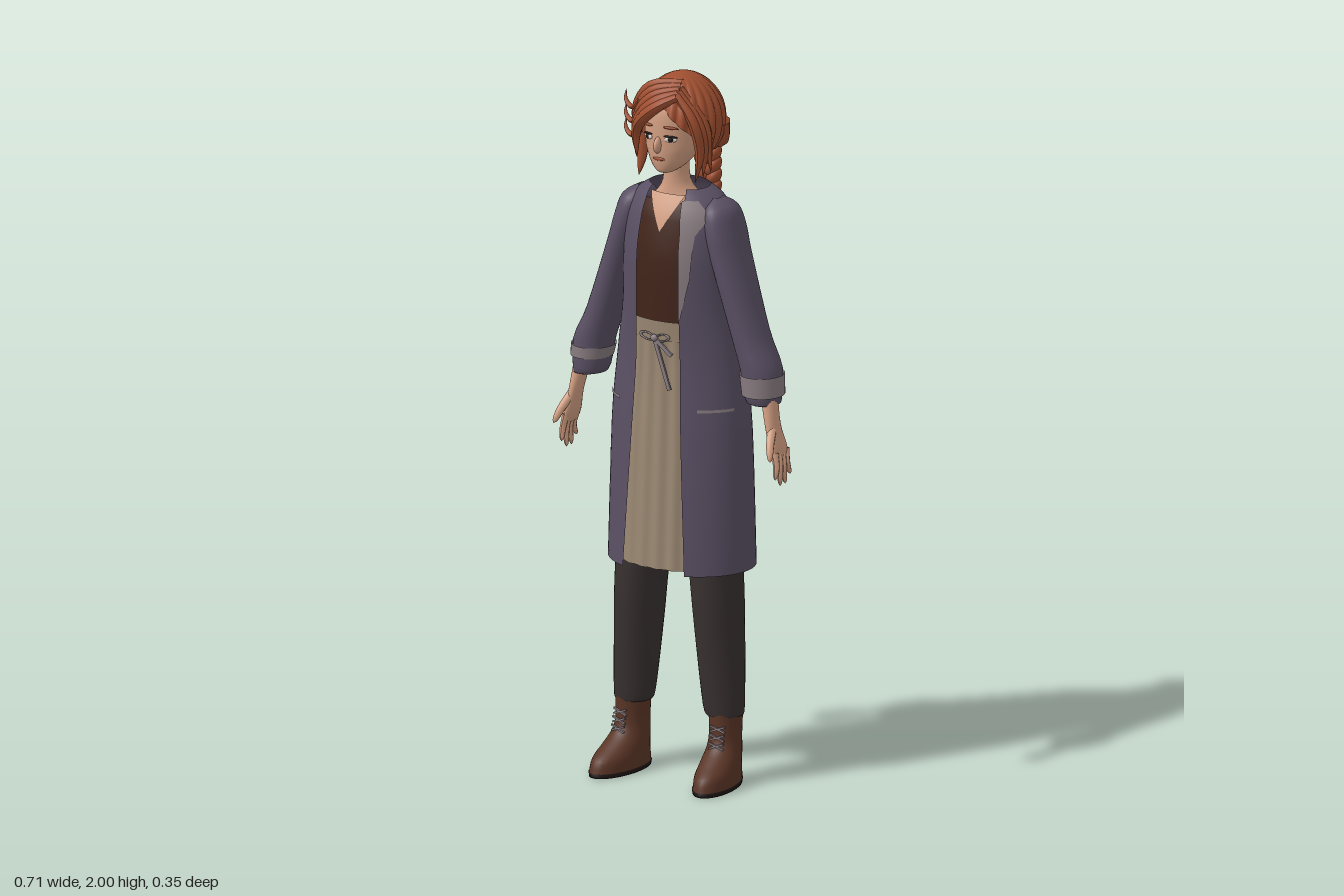
import * as THREE from 'three';

const mat = (name, color) => {
  const m = new THREE.MeshStandardMaterial({ color, side: THREE.DoubleSide });
  m.name = name;
  return m;
};

// Surface from a rule: u runs around, v runs upward
function grid(nu, nv, fn, closed) {
  const pos = [], idx = [], cols = closed ? nu : nu + 1;
  for (let i = 0; i <= nv; i++)
    for (let j = 0; j < cols; j++) pos.push(...fn(j / nu, i / nv));
  for (let i = 0; i < nv; i++)
    for (let j = 0; j < nu; j++) {
      const k = (j + 1) % cols, a = i * cols + j, b = i * cols + k;
      idx.push(a, b, b + cols, a, b + cols, a + cols);
    }
  const g = new THREE.BufferGeometry();
  g.setAttribute('position', new THREE.Float32BufferAttribute(pos, 3));
  g.setIndex(idx);
  g.computeVertexNormals();
  return g;
}

// Catmull-Rom resampling of rows of numbers
function smooth(rows, sub) {
  const out = [], n = rows.length - 1;
  for (let i = 0; i < n; i++)
    for (let s = 0; s < sub; s++) {
      const t = s / sub, p0 = rows[Math.max(i - 1, 0)], p1 = rows[i], p2 = rows[i + 1], p3 = rows[Math.min(i + 2, n)];
      out.push(p1.map((b, k) => {
        const c1 = p2[k] - p0[k];
        const c2 = 2 * p0[k] - 5 * b + 4 * p2[k] - p3[k];
        const c3 = 3 * (b - p2[k]) + p3[k] - p0[k];
        return b + 0.5 * t * (c1 + t * (c2 + t * c3));
      }));
    }
  out.push(rows[n]);
  return out;
}

// Loft through elliptical rings [y, z, rx, rz, x, startAngle, endAngle], bottom to top
function loft(rings, { sub = 4, seg = 32, ripple = 0 } = {}) {
  const R = smooth(rings, sub), n = R.length - 1;
  return grid(seg, n, (u, v) => {
    const [y, z, rx, rz, x = 0, a0 = 0, a1 = Math.PI * 2] = R[Math.round(v * n)];
    const a = a0 + (a1 - a0) * u;
    return [x + rx * Math.sin(a), y, z + (rz + ripple * Math.sin(a * 26)) * Math.cos(a)];
  }, rings[0].length < 6);
}

// Tapered tube along a curve; shape(t) gives the relative thickness
const lockShape = t => (0.45 + 1.1 * t) * (1 - t * t) * 1.15 + 0.01;
const fingerShape = t => Math.sqrt(1 - t ** 6) * (1 - 0.25 * t) + 0.01;
function taper(points, r, shape) {
  const n = 14, sides = 8, v = new THREE.Vector3();
  const curve = new THREE.CatmullRomCurve3(points.map(p => new THREE.Vector3(...p)));
  const g = new THREE.TubeGeometry(curve, n, r, sides), p = g.attributes.position;
  for (let i = 0; i < p.count; i++) {
    const t = Math.floor(i / (sides + 1)) / n, c = curve.getPointAt(t);
    v.fromBufferAttribute(p, i).sub(c).multiplyScalar(shape(t)).add(c);
    p.setXYZ(i, v.x, v.y, v.z);
  }
  g.computeVertexNormals();
  return g;
}

const mix = (a, b, t) => a.map((q, k) => q + (b[k] - q) * t);

export function createModel() {
  const coat = mat('coat purple', 0x5a5064), trim = mat('trim grey', 0x887c80);
  const shirt = mat('shirt brown', 0x42251a), tan = mat('apron tan', 0x9a8772);
  const cloth = mat('trouser charcoal', 0x383130), leather = mat('boot brown', 0x5a3526);
  const skin = mat('skin', 0xd4a083), hair = mat('hair auburn', 0xa04f30);
  const dark = mat('dark', 0x1f1715), white = mat('eye white', 0xe2dad4);

  const model = new THREE.Group();
  model.name = 'figure';
  const add = (parent, name, geo, m, pos = [0, 0, 0], rot = [0, 0, 0], scale = [1, 1, 1]) => {
    const mesh = new THREE.Mesh(geo, m);
    mesh.name = name;
    mesh.position.set(...pos);
    mesh.rotation.set(...rot);
    mesh.scale.set(...scale);
    parent.add(mesh);
  };
  const group = (parent, name) => {
    const g = new THREE.Group();
    g.name = name;
    parent.add(g);
    return g;
  };
  const ball = new THREE.SphereGeometry(1, 16, 12);

  // Long open coat: y, z, rx, rz and half width of the opening
  const coatRings = [
    [0.61, -0.01, 0.215, 0.167, 0.098], [1, -0.01, 0.207, 0.146, 0.078], [1.2, -0.008, 0.188, 0.132, 0.07],
    [1.35, -0.002, 0.167, 0.13, 0.067], [1.5, 0, 0.163, 0.129, 0.066], [1.6, -0.003, 0.16, 0.112, 0.063],
    [1.655, -0.003, 0.13, 0.09, 0.06], [1.685, 0, 0.088, 0.07, 0.053],
  ].map(([y, z, rx, rz, w]) => [y, z, rx, rz, 0, Math.asin(w / rx), Math.PI * 2 - Math.asin(w / rx)]);
  add(model, 'coat', loft(coatRings, { seg: 56 }), coat);

  // Panels that follow the coat surface: rows of [y, xMin, xMax], offset outward
  const fine = smooth(coatRings, 6), steps = 6;
  function panel(name, rows, off, m, ripple = 0) {
    const rings = [];
    for (let i = 0; i <= (rows.length - 1) * steps; i++) {
      const r = Math.min(Math.floor(i / steps), rows.length - 2);
      const [y, x0, x1] = mix(rows[r], rows[r + 1], i / steps - r);
      const k = fine.findIndex(f => f[0] >= y), A = fine[k - 1], B = fine[k];
      const [, z, rx, rz] = mix(A, B, (y - A[0]) / (B[0] - A[0]));
      rings.push([y, z, rx + off, rz + off, 0, Math.asin(x0 / (rx + off)), Math.asin(x1 / (rx + off))]);
    }
    add(model, name, loft(rings, { sub: 1, seg: 60, ripple }), m);
  }
  panel('shirt', [[1.28, -0.11, 0.11], [1.6, -0.1, 0.1], [1.65, -0.07, 0.07]], -0.012, shirt);
  panel('neckline', [[1.57, -0.002, 0.002], [1.67, -0.055, 0.055]], -0.008, skin);
  panel('apron', [[0.62, -0.15, 0.15], [1.3, -0.11, 0.11]], -0.012, tan, 0.003);
  panel('waistband', [[1.265, -0.1, 0.1], [1.32, -0.1, 0.1]], -0.007, tan);
  panel('lapel', [[1.33, 0.068, 0.072], [1.45, 0.069, 0.098], [1.57, 0.066, 0.105],
    [1.62, 0.06, 0.135], [1.66, 0.055, 0.095]], 0.004, trim);
  panel('leftPocket', [[1.072, 0.12, 0.195], [1.08, 0.12, 0.195]], 0.003, trim);
  panel('rightPocket', [[1.072, -0.195, -0.13], [1.08, -0.195, -0.13]], 0.003, trim);

  // Sash bow with two hanging ends
  const bow = group(model, 'bow');
  bow.position.set(-0.005, 1.272, 0.124);
  add(bow, 'knot', ball, trim, [0, 0, 0.003], [0, 0, 0], [0.011, 0.01, 0.009]);
  for (const s of [-1, 1])
    add(bow, 'loop', new THREE.TorusGeometry(0.016, 0.004, 6, 16), trim, [s * 0.024, 0.002, 0], [0, 0, s * 0.2], [1.3, 0.6, 1]);
  for (const [len, turn] of [[0.15, 0.33], [0.07, 0.9]])
    add(bow, 'sashEnd', new THREE.BoxGeometry(0.011, len, 0.006), trim,
      [Math.sin(turn) * len / 2, -Math.cos(turn) * len / 2, 0.002], [0, 0, turn]);

  // Arms and legs, built on the left and mirrored
  for (const s of [1, -1]) {
    const side = group(model, s > 0 ? 'leftLimbs' : 'rightLimbs');
    side.scale.x = s;

    add(side, 'sleeve', loft([
      [1.125, 0.02, 0.02, 0.025, 0.305], [1.11, 0.015, 0.046, 0.054, 0.278], [1.2, 0.012, 0.057, 0.062, 0.268],
      [1.3, 0.01, 0.05, 0.064, 0.23], [1.5, 0.004, 0.048, 0.076, 0.166], [1.58, 0, 0.049, 0.078, 0.143],
      [1.635, 0, 0.042, 0.062, 0.13], [1.662, 0, 0.012, 0.02, 0.118]]), coat);
    add(side, 'cuff', loft([[s > 0 ? 1.13 : 1.155, 0.013, 0.058, 0.064, 0.275], [1.188, 0.012, 0.061, 0.066, 0.27]]), trim);

    add(side, 'hand', loft([
      [0.955, 0.022, 0.006, 0.028, 0.337], [0.985, 0.025, 0.015, 0.038, 0.331],
      [1.05, 0.03, 0.017, 0.03, 0.316], [1.14, 0.022, 0.023, 0.028, 0.298]], { seg: 20 }), skin);
    for (let i = 0; i < 4; i++) {
      const z = 0.062 - i * 0.026, y = 0.88 + 0.011 * (i - 1.5) ** 2;
      add(side, 'finger', taper([[0.335, 0.98, 0.052 - i * 0.019], [0.343, 0.94, z * 0.7 + 0.012], [0.343, y, z]],
        0.0105, fingerShape), skin);
    }
    add(side, 'thumb', taper([[0.322, 1.04, 0.045], [0.335, 1.005, 0.075], [0.348, 0.965, 0.096]], 0.013, fingerShape), skin);

    add(side, 'trouserLeg', loft([
      [0.195, 0.005, 0.047, 0.05, 0.147], [0.22, 0.005, 0.058, 0.056, 0.143], [0.42, 0.004, 0.065, 0.077, 0.13],
      [0.6, 0.004, 0.07, 0.086, 0.118], [1.02, -0.005, 0.08, 0.09, 0.08]]), cloth);

    const boot = group(side, 'boot');
    boot.position.x = 0.148;
    boot.rotation.y = 0.14;
    add(boot, 'sole', loft([[0, 0.06, 0.001, 0.001], [0, 0.06, 0.054, 0.115], [0.012, 0.06, 0.056, 0.117],
      [0.014, 0.06, 0.05, 0.11]], { sub: 1 }), dark);
    add(boot, 'upper', loft([
      [0.012, 0.06, 0.054, 0.115], [0.045, 0.055, 0.053, 0.107], [0.075, 0.034, 0.05, 0.083],
      [0.105, 0.014, 0.046, 0.062], [0.14, 0.006, 0.044, 0.053], [0.21, 0.004, 0.046, 0.054]]), leather);
    for (let i = 0; i < 3; i++)
      for (const d of [-1, 1])
        add(boot, 'lace', new THREE.BoxGeometry(0.046, 0.005, 0.006), trim, [0, 0.118 + i * 0.023, 0.07 - i * 0.005], [0, 0, d * 0.35]);
  }

  // Neck, head and face
  add(model, 'neck', loft([[1.58, 0, 0.11, 0.065], [1.64, 0.005, 0.08, 0.058],
    [1.7, 0.018, 0.037, 0.04], [1.8, 0.018, 0.036, 0.042]]), skin);
  add(model, 'head', loft([
    [1.733, 0.072, 0.002, 0.003], [1.737, 0.069, 0.022, 0.03], [1.755, 0.053, 0.046, 0.055],
    [1.785, 0.034, 0.067, 0.079], [1.82, 0.024, 0.079, 0.091], [1.9, 0.014, 0.084, 0.1],
    [1.94, 0.006, 0.07, 0.09], [1.975, 0, 0.03, 0.04]]), skin);
  add(model, 'nose', ball, skin, [0, 1.82, 0.114], [-0.35, 0, 0], [0.01, 0.024, 0.02]);
  add(model, 'lips', ball, hair, [0, 1.779, 0.111], [0, 0, 0], [0.019, 0.005, 0.004]);
  for (const s of [-1, 1]) {
    const eye = group(model, 'eye');
    eye.position.set(s * 0.036, 1.838, 0.107);
    eye.rotation.y = s * 0.4;
    add(eye, 'eyeWhite', ball, white, [0, 0, 0], [0, 0, 0], [0.018, 0.008, 0.004]);
    add(eye, 'iris', ball, dark, [0, 0, 0.003], [0, 0, 0], [0.007, 0.0075, 0.003]);
    add(eye, 'eyelash', ball, dark, [0, 0.008, 0.001], [0, 0, s * -0.08], [0.02, 0.003, 0.004]);
    add(eye, 'eyebrow', ball, hair, [0, 0.033, 0.001], [0, 0, s * -0.1], [0.022, 0.004, 0.004]);
  }

  // Ridged hair cap that opens over the face
  add(model, 'hairCap', grid(168, 28, (u, v) => {
    const phi = u * Math.PI * 2, c = Math.cos(phi);
    const th = (1 - v) * (0.95 + 1.5 * ((1 - c) / 2) ** 0.4) + 0.002;
    const ridge = 0.94 + 0.085 * Math.abs(Math.sin(phi * 11 + th * 0.7)) * Math.sin(Math.min(th, 1.57));
    const r = Math.sin(th) * ridge;
    return [0.004 + 0.113 * r * Math.sin(phi), 1.866 + 0.134 * Math.cos(th), (c > 0 ? 0.126 : 0.135) * r * c];
  }, true), hair);

  // Locks blended between an inner and an outer guide
  const sweep = (name, inner, outer, count, r) => {
    for (let i = 0; i < count; i++) {
      const path = inner.map((p, k) => mix(p, outer[k], i / (count - 1)));
      add(model, name, taper(path, r, lockShape), hair);
    }
  };
  sweep('fringeLock',
    [[0.045, 1.955, 0.09], [0, 1.93, 0.112], [-0.055, 1.885, 0.107], [-0.092, 1.83, 0.08], [-0.092, 1.76, 0.075]],
    [[0.035, 1.983, 0.04], [-0.05, 1.967, 0.06], [-0.1, 1.91, 0.05], [-0.12, 1.85, 0.03], [-0.125, 1.75, 0.03]], 5, 0.02);
  sweep('sideLock', [[0.04, 1.962, 0.085], [0.09, 1.89, 0.08], [0.1, 1.8, 0.06], [0.085, 1.71, 0.06]],
    [[0.04, 1.975, 0.065], [0.106, 1.87, 0.045], [0.112, 1.8, 0.035], [0.12, 1.74, 0.035]], 3, 0.018);
  add(model, 'templeLock', taper([[-0.1, 1.86, 0.03], [-0.1, 1.76, 0.035], [-0.102, 1.7, 0.05]], 0.018, lockShape), hair);
  for (const y of [1.85, 1.89, 1.93])
    add(model, 'wisp', taper([[-0.08, y, 0.08], [-0.11, y - 0.03, 0.073], [-0.134, y - 0.015, 0.065], [-0.136, y + 0.015, 0.06]],
      0.008, lockShape), hair);

  // Locks gathered at the nape
  for (let i = 0; i < 6; i++) {
    const x = -0.095 + i * 0.038;
    add(model, 'napeLock', taper([[x, 1.86, -0.12 + Math.abs(x) * 0.6], [x * 0.85, 1.8, -0.088], [x * 0.2, 1.765, -0.14]],
      0.022, t => 1 - 0.35 * t), hair);
  }

  // Plaited braid with a tuft at the end
  const braid = group(model, 'braid');
  for (let i = 0; i < 13; i++) {
    const t = i / 12, k = 1.08 - 0.4 * t;
    for (const s of [-1, 1])
      add(braid, 'plait', ball, hair, [s * 0.015 * k, 1.768 - 0.395 * t - s * 0.007, -0.139 - 0.012 * Math.sin(t * Math.PI)],
        [0.25, 0, s * -0.6], [0.019 * k, 0.033 * k, 0.028 * k]);
  }
  add(braid, 'tuft', loft([[1.29, -0.138, 0.001, 0.001], [1.325, -0.139, 0.019, 0.017], [1.362, -0.139, 0.01, 0.01]]), hair);

  return model;
}
